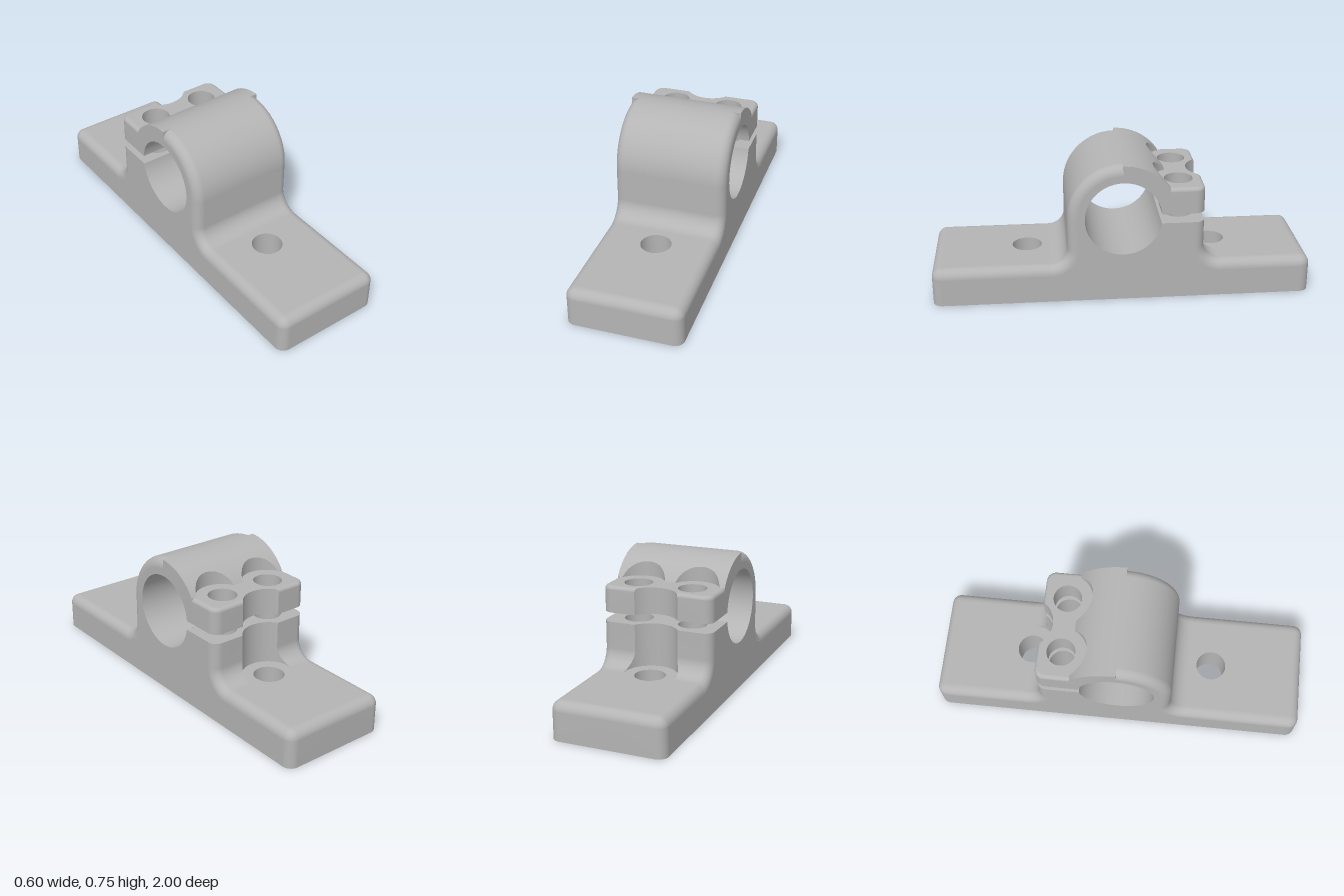
import * as THREE from 'three';

const { PI, sin, cos, asin, sqrt } = Math;
const W = 0.3, R = 0.05;               // half width, main edge rounding
const CY = 0.46, RO = 0.29, RI = 0.2;  // clamp ring centre height and radii
const BACK = -0.425, EAR = 0.62;       // rear face and ear top
const SLOT0 = 0.43, SLOT1 = 0.48;      // clamping slot
const NZ = -0.5, NR = 0.14;            // notch around the rear mounting hole
const SX = 0.15, SZ = -0.3, SR = 0.135; // clamp screw holes and their spot faces
const EZ = -sqrt(RO ** 2 - (EAR - CY) ** 2); // where the ring meets the ear top
const Q = asin((EZ - SZ) / SR);

const steel = new THREE.MeshStandardMaterial({ color: 0xb4b4b4, side: THREE.DoubleSide });
steel.name = 'grey metal';

function flipped(g) {
  const i = g.index.array;
  for (let k = 0; k < i.length; k += 3) [i[k], i[k + 1]] = [i[k + 1], i[k]];
  const n = g.attributes.normal;
  if (n) for (let k = 0; k < n.array.length; k++) n.array[k] *= -1;
  return g;
}

// Smooth surface through a grid of points f(i, j)
function surf(nu, nv, f, flip = false) {
  const pos = [], idx = [];
  for (let i = 0; i <= nu; i++) for (let j = 0; j <= nv; j++) pos.push(...f(i, j));
  for (let i = 0; i < nu; i++) for (let j = 0; j < nv; j++) {
    const a = i * (nv + 1) + j, b = a + nv + 1;
    idx.push(a, b, a + 1, b, b + 1, a + 1);
  }
  const g = new THREE.BufferGeometry();
  g.setAttribute('position', new THREE.Float32BufferAttribute(pos, 3));
  g.setIndex(idx);
  if (flip) flipped(g);
  g.computeVertexNormals();
  return g;
}

// Horizontal face from a plan shape in (x, z)
function planFace(shape, y, up) {
  const g = new THREE.ShapeGeometry(shape, 24).rotateX(PI / 2).translate(0, y, 0);
  return up ? flipped(g) : g;
}

// Upright cylindrical wall seen from inside, between two heights
const wall = (x, z, r, a0, a1, y0, y1) => surf(40, 1, (i, j) => {
  const a = a0 + (a1 - a0) * i / 40, pz = z + r * sin(a);
  return [x + r * cos(a), j ? (typeof y1 === 'function' ? y1(pz) : y1) : y0, pz];
});

const hole = (x, z, r) => new THREE.Path().absarc(x, z, r, 0, 2 * PI, true);
const screwHoles = r => [hole(SX, SZ, r), hole(-SX, SZ, r)];
const notchX = z => sqrt(Math.max(0, NR ** 2 - (z - NZ) ** 2));

// Side-profile pieces: points [z, y, normal z, normal y]
const line = (z0, y0, z1, y1, nz, ny) => [[z0, y0, nz, ny], [z1, y1, nz, ny]];
function arc(cz, cy, r, a0, a1, n = 16, dir = 1) {
  return Array.from({ length: n + 1 }, (_, i) => {
    const a = a0 + (a1 - a0) * i / n;
    return [cz + r * cos(a), cy + r * sin(a), dir * cos(a), dir * sin(a)];
  });
}

// Half of the outer skin along a profile, rolling over the side edge
function skin(pts, inner, s, front) {
  return surf(pts.length - 1, 9, (i, j) => {
    const [z, y, nz, ny] = pts[i];
    const a = Math.max(0, j - 1) / 8 * PI / 2;
    const x = j ? W - R + R * sin(a) : inner(z);
    const t = R * (1 - cos(a));
    return [s * x, y - ny * t, z - nz * t];
  }, (s > 0) === front);
}

// Plan outline of the clamp ear, inset by d, with optional scalloped front
function earPlan(d, front, scallops) {
  const p = new THREE.Shape(), x = W - d, c = W - R, cz = BACK + R;
  const a = asin((BACK + d - NZ) / NR);
  p.moveTo(x, front).lineTo(x, cz);
  p.absarc(c, cz, R - d, 0, -PI / 2, true);
  p.absarc(0, NZ, NR, a, PI - a, false);
  p.absarc(-c, cz, R - d, -PI / 2, -PI, true);
  p.lineTo(-x, front);
  if (scallops) for (const s of [-1, 1]) p.absarc(s * SX, SZ, SR, PI - Q, Q, true);
  p.holes.push(...screwHoles(0.075));
  return p;
}

// Half of the ear wall with a rounded upper edge
function earWall(s) {
  const rings = [[SLOT1, 0]];
  for (let k = 0; k <= 6; k++) {
    const a = k / 6 * PI / 2;
    rings.push([EAR - 0.02 + 0.02 * sin(a), 0.02 * (1 - cos(a))]);
  }
  return surf(rings.length - 1, 10, (i, j) => {
    const [y, d] = rings[i], a = (j - 1) / 8 * PI / 2, r = R - d;
    if (j === 0) return [s * notchX(BACK + d), y, BACK + d];
    if (j === 10) return [s * (W - d), y, EZ];
    return [s * (W - R + r * sin(a)), y, BACK + R - r * cos(a)];
  }, s < 0);
}

// Flat side: base edge, ring with bore, slot and ear foot
function sideFace(s) {
  const p = new THREE.Shape();
  p.moveTo(0.95, 0).lineTo(0.95, 0.15).lineTo(0.38, 0.15);
  p.absarc(0.38, 0.29, 0.14, -PI / 2, -PI, true);
  p.absarc(0, CY, RO - R, 0, PI / 2, false);
  p.absarc(0, CY, RO, PI / 2, PI - asin((EAR - CY) / RO), false);
  p.lineTo(EZ, SLOT1);
  p.absarc(0, CY, RI, PI - 0.1, -PI + 0.15, true);
  p.lineTo(BACK + R, SLOT0).lineTo(BACK + R, 0.29);
  p.absarc(-0.515, 0.29, 0.14, 0, -PI / 2, true);
  p.lineTo(-0.95, 0.15).lineTo(-0.95, 0);
  const g = new THREE.ShapeGeometry(p, 32).rotateY(-PI / 2).translate(s * W, 0, 0);
  return s > 0 ? flipped(g) : g;
}

// Small end face where an edge rounding stops
function roundingEnd(s, z, y, r, flip) {
  const p = new THREE.Shape();
  p.moveTo(s * (W - r), y).lineTo(s * W, y).lineTo(s * W, y - r);
  p.absarc(s * (W - r), y - r, r, s > 0 ? 0 : PI, PI / 2, s < 0);
  const g = new THREE.ShapeGeometry(p).translate(0, 0, z);
  return flip ? flipped(g) : g;
}

export function createModel() {
  const model = new THREE.Group();
  model.name = 'pillow block clamp';
  const add = (name, g) => {
    const m = new THREE.Mesh(g, steel);
    m.name = name;
    model.add(m);
  };
  const zero = () => 0, edge = () => W - R;

  // Outer skin, mirrored left and right
  const frontEnd = [[1, 0, 1, 0], ...arc(0.95, 0.15, R, 0, PI / 2, 8)];
  const rearEnd = frontEnd.map(([z, y, nz, ny]) => [-z, y, -nz, ny]);
  const ringFront = [...arc(0.38, 0.29, 0.09, -PI / 2, -PI, 12, -1), ...arc(0, CY, RO, 0, PI / 2, 32)];
  const rearFoot = [...arc(-0.515, 0.29, 0.09, -PI / 2, 0, 12, -1), [BACK, SLOT0, -1, 0]];
  for (const s of [1, -1]) {
    add('baseFrontEnd', skin(frontEnd, zero, s, true));
    add('baseFrontEdge', skin(line(0.95, 0.2, 0.38, 0.2, 0, 1), edge, s, true));
    add('ringFront', skin(ringFront, zero, s, true));
    add('baseRearEnd', skin(rearEnd, zero, s, false));
    add('baseRearEdge', skin(line(-0.95, 0.2, -0.515, 0.2, 0, 1), edge, s, false));
    add('lowerEarRear', skin(rearFoot, notchX, s, false));
    add('upperEarWall', earWall(s));
    add('side', sideFace(s));
    add('ringRoundingEnd', roundingEnd(s, 0, CY + RO, R, s > 0));
    add('earRoundingEnd', roundingEnd(s, EZ, EAR, 0.02, s > 0));
  }

  // Base top panels and underside
  const frontTop = new THREE.Shape();
  frontTop.moveTo(0.25, 0.95).lineTo(-0.25, 0.95).lineTo(-0.25, 0.38).lineTo(0.25, 0.38);
  frontTop.holes.push(hole(0, 0.5, 0.08));
  add('baseFrontTop', planFace(frontTop, 0.2, true));
  const rearTop = new THREE.Shape(), a0 = asin(-0.015 / NR);
  rearTop.moveTo(0.25, -0.95).lineTo(0.25, -0.515);
  rearTop.absarc(0, NZ, NR, a0, PI - a0, false);
  rearTop.lineTo(-0.25, -0.515).lineTo(-0.25, -0.95);
  rearTop.holes.push(hole(0, NZ, 0.08));
  add('baseRearTop', planFace(rearTop, 0.2, true));
  const under = new THREE.Shape();
  under.absarc(0.25, 0.95, R, 0, PI / 2).absarc(-0.25, 0.95, R, PI / 2, PI);
  under.absarc(-0.25, -0.95, R, PI, 1.5 * PI).absarc(0.25, -0.95, R, 1.5 * PI, 2 * PI);
  under.holes.push(hole(0, 0.5, 0.08), hole(0, NZ, 0.08), ...screwHoles(0.11));
  add('underside', planFace(under, 0, false));

  // Ring top behind the crest, trimmed by the spot faces
  add('ringRear', surf(120, 16, (i, j) => {
    const x = -W + 2 * W * i / 120, dx = Math.abs(x) - SX;
    const end = Math.abs(dx) < SR * cos(Q) ? SZ + sqrt(SR ** 2 - dx ** 2) : EZ;
    const a = asin(-end / RO) * j / 16;
    return [x, CY + RO * cos(a), -RO * sin(a)];
  }));
  add('bore', surf(72, 1, (i, j) => {
    const a = -PI + 0.15 + (2 * PI - 0.25) * i / 72;
    return [j ? W : -W, CY + RI * sin(a), RI * cos(a)];
  }));

  // Ear faces on both sides of the slot
  add('lowerEarTop', planFace(earPlan(0, -RI * cos(0.15)), SLOT0, true));
  add('upperEarUnderside', planFace(earPlan(0, -RI * cos(0.1)), SLOT1, false));
  add('upperEarTop', planFace(earPlan(0.02, EZ, true), EAR, true));

  // Rear notch walls
  const a1 = asin((BACK - NZ) / NR);
  const footY = z => 0.29 - sqrt(Math.max(0, 0.09 ** 2 - (z + 0.515) ** 2));
  const earY = z => EAR - 0.02 + sqrt(0.02 ** 2 - Math.max(0, BACK + 0.02 - z) ** 2 || 0);
  add('notchWall', wall(0, NZ, NR, a0, a1, 0.2, footY));
  add('notchWall', wall(0, NZ, NR, a1, PI - a1, 0.2, SLOT0));
  add('notchWall', wall(0, NZ, NR, PI - a1, PI - a0, 0.2, footY));
  add('earNotchWall', wall(0, NZ, NR, a1 + 1e-4, PI - a1 - 1e-4, SLOT1, earY));

  // Mounting holes, then clamp screw holes with counterbores and spot faces
  for (const z of [0.5, NZ]) add('mountingHole', wall(0, z, 0.08, 0, 2 * PI, 0, 0.2));
  for (const x of [SX, -SX]) {
    add('counterbore', wall(x, SZ, 0.11, 0, 2 * PI, 0, 0.2));
    const step = new THREE.Shape().absarc(x, SZ, 0.11, 0, 2 * PI);
    step.holes.push(hole(x, SZ, 0.075));
    add('counterboreStep', planFace(step, 0.2, false));
    add('lowerScrewHole', wall(x, SZ, 0.075, 0, 2 * PI, 0.2, SLOT0));
    add('upperScrewHole', wall(x, SZ, 0.075, 0, 2 * PI, SLOT1, EAR));
    add('spotFaceWall', wall(x, SZ, SR, Q, PI - Q, EAR, z => CY + sqrt(RO ** 2 - z ** 2)));
  }
  return model;
}
